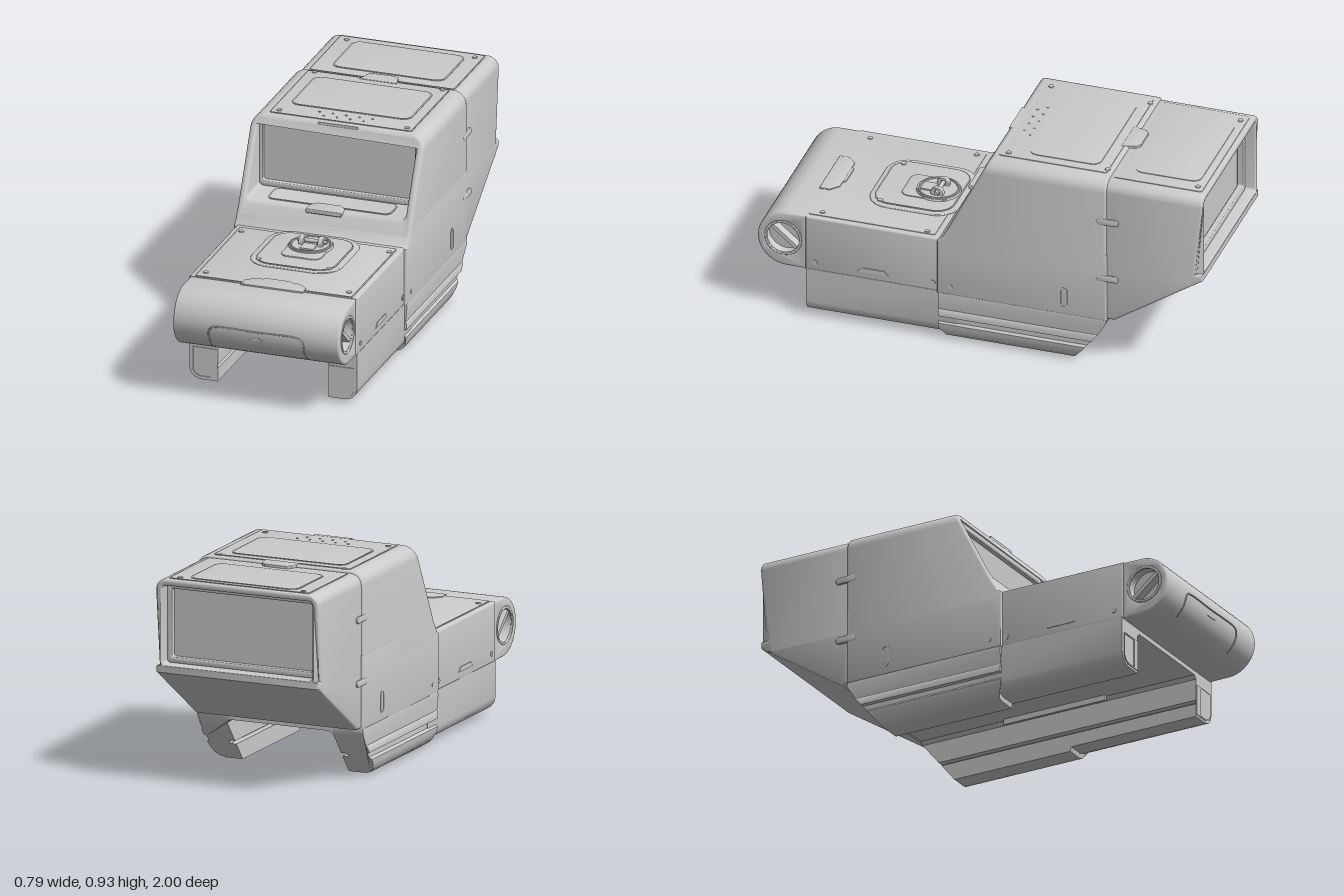
import * as THREE from 'three';
import { toCreasedNormals } from 'three/addons/utils/BufferGeometryUtils.js';

const grey = new THREE.MeshStandardMaterial({ color: 0xcccccc });
const V2 = (p) => new THREE.Vector2(p[0], p[1]);

// Rounded rectangle outline; rt and rb are the top and bottom corner radii
function roundRect(x0, y0, x1, y1, rt, rb = rt) {
  const pts = [];
  const corners = [[x1, y1, rt, -1, -1, 0], [x0, y1, rt, 1, -1, 1], [x0, y0, rb, 1, 1, 2], [x1, y0, rb, -1, 1, 3]];
  for (const [x, y, r, sx, sy, q] of corners) {
    if (r === 0) { pts.push([x, y]); continue; }
    for (let i = 0; i <= 8; i++) {
      const a = (q + i / 8) * Math.PI / 2;
      pts.push([x + sx * r + r * Math.cos(a), y + sy * r + r * Math.sin(a)]);
    }
  }
  return pts;
}

// Prism with softened rims, centred on z, never larger than its outline
function prism(pts, depth, b = 0, holes = []) {
  const shape = new THREE.Shape(pts.map(V2));
  for (const h of holes) shape.holes.push(new THREE.Path(h.map(V2)));
  const g = new THREE.ExtrudeGeometry(shape, {
    depth: depth - 2 * b, bevelEnabled: b > 0, bevelThickness: b, bevelSize: b, bevelOffset: -b, bevelSegments: 3,
  });
  return g.translate(0, 0, b - depth / 2);
}

// Moves the two ends of a prism to z positions that depend on height
function fitEnds(g, depth, front, back) {
  const p = g.attributes.position;
  for (let i = 0; i < p.count; i++) {
    const y = p.getY(i), z = p.getZ(i);
    p.setZ(i, z > 0 ? front(y) + z - depth / 2 : back(y) + z + depth / 2);
  }
  g.computeVertexNormals();
  return g;
}

export function createModel() {
  const model = new THREE.Group();
  const add = (name, g, x = 0, y = 0, z = 0) => {
    const m = new THREE.Mesh(toCreasedNormals(g, 0.6), grey);
    m.name = name;
    m.position.set(x, y, z);
    model.add(m);
    return m;
  };
  // Outline given as (z, y), extruded across the width
  const across = (name, pts, width, b = 0, holes = [], x = 0) =>
    add(name, prism(pts, width, b, holes).rotateY(-Math.PI / 2), x);
  // Outline given as (x, z), lying flat with its underside at y
  const flat = (name, pts, y, h, b = 0, holes = []) =>
    add(name, prism(pts.map(([x, z]) => [x, -z]), h, b, holes.map((o) => o.map(([x, z]) => [x, -z])))
      .rotateX(-Math.PI / 2), 0, y + h / 2, 0);
  const flatRim = (name, x, z0, z1, r, y, t = 0.006) =>
    flat(name, roundRect(-x, z0, x, z1, r), y - 0.003, 0.006, 0, [roundRect(-x + t, z0 + t, x - t, z1 - t, r * 0.9)]);

  // Cabin: raked front around the window, then its lower half
  const rake = (y) => 0.17 - (y - 0.5) * 0.5;
  const cabinHole = roundRect(-0.36, 0.59, 0.36, 0.895, 0.02);
  add('cabinUpper', fitEnds(prism(roundRect(-0.393, 0.46, 0.393, 0.922, 0.06, 0), 2, 0.014, [cabinHole]),
    2, rake, () => -0.572));
  across('cabinLower', [[0.19, 0.23], [0.19, 0.488], [0.172, 0.502], [0.155, 0.53], [0.135, 0.56], [-0.572, 0.56], [-0.572, 0.23]], 0.786, 0.008);

  // Front window
  add('windowPanel', new THREE.BoxGeometry(0.74, 0.33, 0.03), 0, 0.74, -0.08);
  add('windowFrame', prism(roundRect(-0.362, 0.588, 0.362, 0.897, 0.02), 0.025, 0.005,
    [roundRect(-0.345, 0.613, 0.345, 0.872, 0.01)]), 0, 0, -0.055);
  flatRim('windowSillTrim', 0.28, -0.03, 0.09, 0.03, 0.591);
  flat('sillClasp', [[-0.08, 0.15], [-0.08, 0.1], [-0.05, 0.07], [0.05, 0.07], [0.08, 0.1], [0.08, 0.15]], 0.575, 0.022, 0.005);
  flat('browClasp', [[-0.09, -0.035], [-0.08, -0.06], [0.08, -0.06], [0.09, -0.035]], 0.91, 0.012);

  // Rear pod with the recessed back window
  const podBack = (y) => (y > 0.5 ? -1 : -1 + (0.5 - y) * 1.5);
  const podHole = roundRect(-0.352, 0.535, 0.352, 0.882, 0.015);
  add('rearPodUpper', fitEnds(prism(roundRect(-0.384, 0.47, 0.384, 0.912, 0.05, 0), 2, 0.01, [podHole]),
    2, () => -0.55, podBack));
  across('rearPodLower', [[-0.55, 0.235], [-0.605, 0.235], [-1, 0.5], [-1, 0.53], [-0.55, 0.53]], 0.768, 0.012);
  add('rearPanel', new THREE.BoxGeometry(0.72, 0.36, 0.03), 0, 0.708, -0.905);
  add('rearWindowFrame', prism(roundRect(-0.354, 0.533, 0.354, 0.884, 0.015), 0.03, 0.005,
    [roundRect(-0.33, 0.56, 0.33, 0.86, 0.01)]), 0, 0, -0.935);

  // Front deck
  across('deck', [[0.1, 0.23], [0.785, 0.23], [0.785, 0.492], [0.1, 0.492]], 0.762, 0.01);
  flatRim('deckTrim', 0.357, 0.21, 0.778, 0.01, 0.492);

  // Rounded nose with a bore at each end
  const nose = [[0.78, 0.23]];
  for (let i = 0; i <= 20; i++) {
    const a = -Math.PI / 2 + Math.PI * i / 20;
    nose.push([0.87 + 0.13 * Math.cos(a), 0.36 + 0.13 * Math.sin(a)]);
  }
  nose.push([0.78, 0.49]);
  const ring = (r) => Array.from({ length: 32 }, (_, i) =>
    [0.885 + r * Math.cos(i * Math.PI / 16), 0.365 + r * Math.sin(i * Math.PI / 16)]);
  across('nose', nose, 0.752, 0.008, [ring(0.078)]);
  for (const s of [-1, 1]) {
    across('noseBoreCap', ring(0.08), 0.05, 0, [], s * 0.3);
    across('noseBoreRim', ring(0.084), 0.01, 0.003, [ring(0.072)], s * 0.374);
    const bar = add('noseBoreBar', new THREE.BoxGeometry(0.05, 0.018, 0.15), s * 0.34, 0.365, 0.885);
    bar.rotation.x = -0.7;
  }

  // Seam of the nose flap, following the curve, and its small pull
  const onNose = (x, y) => new THREE.Vector3(x, y, 0.87 + Math.sqrt(Math.max(0, 0.0169 - (y - 0.36) ** 2)));
  const seam = [[-0.215, 0.26], [-0.215, 0.3], [-0.214, 0.34], [-0.205, 0.36], [-0.185, 0.368], [0, 0.368],
    [0.185, 0.368], [0.205, 0.36], [0.214, 0.34], [0.215, 0.3], [0.215, 0.26]].map(([x, y]) => onNose(x, y));
  add('noseFlapSeam', new THREE.TubeGeometry(new THREE.CatmullRomCurve3(seam), 80, 0.004, 6));
  add('noseFlapPull', prism([[-0.03, 0.332], [0.03, 0.332], [0.012, 0.341], [-0.012, 0.341]], 0.012), 0, 0, 0.994);
  flat('noseClasp', [[-0.14, 0.8], [-0.14, 0.755], [-0.1, 0.72], [0.1, 0.72], [0.14, 0.755], [0.14, 0.8]], 0.484, 0.014, 0.003);
  flat('noseClaspGrip', [[-0.07, 0.722], [-0.05, 0.708], [0.05, 0.708], [0.07, 0.722]], 0.49, 0.007);

  // Deck hatch with a turning latch
  flat('hatchPlate', roundRect(-0.205, 0.18, 0.205, 0.58, 0.1), 0.486, 0.011, 0.004);
  flatRim('hatchTrim', 0.18, 0.205, 0.56, 0.08, 0.498);
  flat('latchPlate', roundRect(-0.09, 0.24, 0.09, 0.455, 0.035), 0.494, 0.008, 0.003);
  add('latchDisc', new THREE.CylinderGeometry(0.095, 0.1, 0.014, 32), 0, 0.499, 0.31);
  add('latchRim', new THREE.TorusGeometry(0.085, 0.005, 8, 32).rotateX(Math.PI / 2), 0, 0.506, 0.31);
  for (const x of [-0.038, 0.048]) {
    const lug = roundRect(0.272, 0.49, 0.328, 0.54, 0.024, 0);
    const eye = ring(0.011).map(([z, y]) => [z - 0.585, y + 0.153]);
    across('latchLug', lug, 0.024, 0.004, [eye], x);
  }
  add('latchPin', new THREE.CylinderGeometry(0.009, 0.009, 0.13, 12).rotateZ(Math.PI / 2), 0.005, 0.518, 0.3);
  add('latchTab', new THREE.BoxGeometry(0.06, 0.01, 0.06), 0.005, 0.508, 0.35);

  // Roof panels
  flatRim('cabinRoofTrim', 0.322, -0.55, -0.065, 0.01, 0.922, 0.005);
  flatRim('cabinRoofPanel', 0.272, -0.5, -0.18, 0.04, 0.922, 0.007);
  flatRim('podRoofTrim', 0.33, -0.98, -0.585, 0.01, 0.912, 0.005);
  flatRim('podRoofPanel', 0.255, -0.945, -0.65, 0.04, 0.912, 0.007);
  flat('roofClasp', [[-0.085, -0.54], [-0.07, -0.6], [-0.05, -0.615], [0.05, -0.615], [0.07, -0.6], [0.085, -0.54]], 0.908, 0.017, 0.004);
  for (let i = 0; i < 9; i++)
    add('roofVent', new THREE.CylinderGeometry(0.005, 0.005, 0.006, 8), -0.12 + i * 0.03, 0.922, i % 2 ? -0.105 : -0.14);

  // Bolts at the panel corners
  const bolts = [[0.335, 0.492, 0.25], [0.325, 0.492, 0.725], [0.29, 0.922, -0.1], [0.29, 0.922, -0.545], [0.29, 0.912, -0.95], [0.16, 0.497, 0.52]];
  for (const [x, y, z] of bolts) for (const s of [-1, 1])
    add('bolt', new THREE.CylinderGeometry(0.011, 0.013, 0.008, 16), s * x, y, z);

  // Skid sections (x, y), right down to the ground
  const inner = [[0.25, 0], [0.25, 0.08], [0.278, 0.08], [0.278, 0.097], [0.25, 0.097], [0.25, 0.195], [0.235, 0.21], [0.235, 0.235]];
  const rearOuter = [[0.39, 0.235], [0.392, 0.215], [0.386, 0.15], [0.391, 0.142], [0.391, 0.115], [0.379, 0.11],
    [0.379, 0.088], [0.388, 0.078], [0.385, 0.055], [0.373, 0.025], [0.355, 0.008], [0.33, 0]];
  const frontOuter = [[0.381, 0.235], [0.381, 0.075], [0.375, 0.05], [0.358, 0.03], [0.33, 0.02]];
  const tail = (y) => (y > 0.2 ? -0.57 : -0.57 + (0.2 - y) * 0.8);
  for (const s of [-1, 1]) {
    const mirror = (pts) => pts.map(([x, y]) => [s * x, y]);
    add('rearSkid', fitEnds(prism(mirror([...inner, ...rearOuter]), 2), 2,
      (y) => (y < 0.03 ? 0.16 : 0.185), tail));
    const frontInner = inner.map(([x, y]) => [x, Math.max(y, 0.02)]);
    add('frontSkid', fitEnds(prism(mirror([...frontInner, ...frontOuter]), 2), 2, () => 0.78, () => 0.1));
    add('skidEndTrim', prism(mirror([[0.252, 0.168], [0.367, 0.168], [0.367, 0.06], [0.355, 0.04], [0.33, 0.03], [0.252, 0.03]]), 0.008, 0,
      [mirror([[0.283, 0.163], [0.362, 0.163], [0.362, 0.062], [0.351, 0.045], [0.33, 0.036], [0.283, 0.036]])]), 0, 0, 0.78);
    add('underHook', new THREE.BoxGeometry(0.012, 0.03, 0.5), s * 0.225, 0.2, 0.1);

    // Side details: clips, slot, screws and handle
    for (const y of [0.44, 0.72])
      across('sideClip', roundRect(-0.625, y - 0.015, -0.525, y + 0.015, 0.014), 0.012, 0.004, [], s * 0.388);
    const slot = (t) => roundRect(-0.397 + t, 0.265 + t, -0.363 - t, 0.362 - t, 0.0165 - t);
    across('sideSlotRim', slot(0), 0.006, 0, [slot(0.005)], s * 0.392);
    for (const [z, x] of [[0.74, 0.381], [0.21, 0.381], [0.13, 0.392]])
      add('sideScrew', new THREE.CylinderGeometry(0.011, 0.011, 0.006, 16).rotateZ(Math.PI / 2), s * x, 0.272, z);
    across('sideHandle', [[0.41, 0.265], [0.43, 0.285], [0.53, 0.285], [0.55, 0.265]], 0.006, 0, [], s * 0.381);
  }
  add('underFloor', new THREE.BoxGeometry(0.5, 0.03, 1.35), 0, 0.225, 0.105);
  return model;
}
